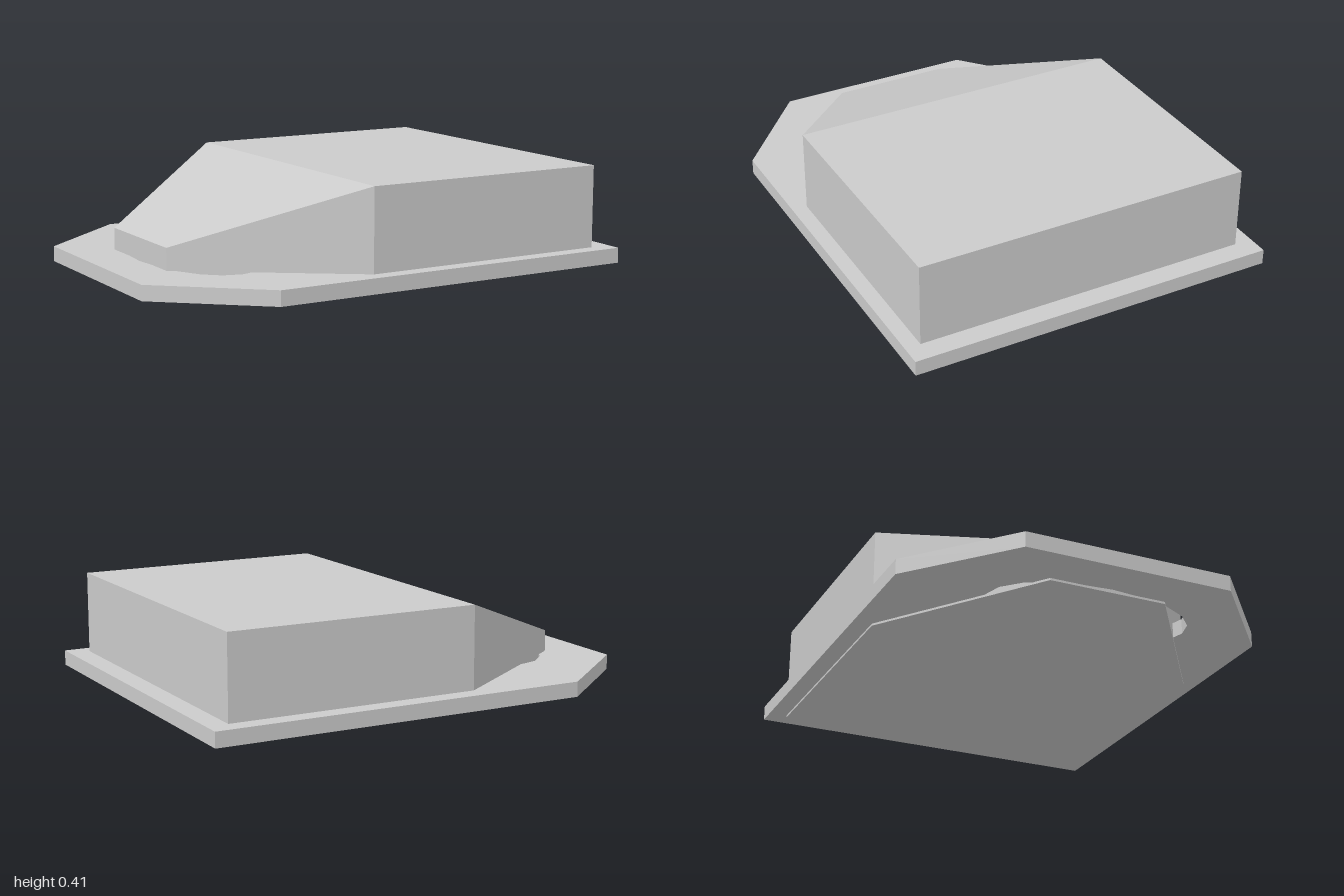
import * as THREE from 'three';

const material = new THREE.MeshStandardMaterial({ color: 0xcccccc, flatShading: true });

function addPart(group, geometry, name) {
  const mesh = new THREE.Mesh(geometry, material);
  mesh.name = name;
  group.add(mesh);
}

const points = (list) => list.map(([x, z]) => new THREE.Vector2(x, z));

// Flat rim plate with chamfered nose corners and a faceted opening under the nose
function rimGeometry() {
  const shape = new THREE.Shape(points([
    [-1, -0.43], [-0.595, -0.775], [1, -0.775],
    [1, 0.775], [-0.595, 0.775], [-1, 0.43],
  ]));
  shape.holes.push(new THREE.Path(points([
    [-0.82, 0.02], [-0.81, 0.12], [-0.78, 0.27], [-0.725, 0.375], [-0.66, 0.435],
    [-0.585, 0.455], [-0.53, 0.44], [-0.42, 0.38], [-0.33, 0.25], [-0.3, 0.03],
    [-0.33, -0.2], [-0.42, -0.33], [-0.53, -0.405], [-0.59, -0.4], [-0.66, -0.38],
    [-0.735, -0.31], [-0.78, -0.22], [-0.81, -0.09],
  ])));
  const geometry = new THREE.ExtrudeGeometry(shape, { depth: 0.063, bevelEnabled: false });
  return geometry.rotateX(Math.PI / 2).translate(0, 0.072, 0);
}

// Block whose front section tapers in width and slopes down to a short nose
function bodyGeometry() {
  const stations = [
    { x: -0.81, height: 0.163, halfWidth: 0.245 },
    { x: -0.15, height: 0.415, halfWidth: 0.705 },
    { x: 0.912, height: 0.415, halfWidth: 0.705 },
  ];
  const geometry = new THREE.BoxGeometry(2, 1, 2, 2, 1, 1);
  const position = geometry.attributes.position;
  for (let i = 0; i < position.count; i++) {
    const s = stations[Math.round(position.getX(i)) + 1];
    const y = position.getY(i) > 0 ? s.height : 0;
    position.setXYZ(i, s.x, y, 0.006 + Math.sign(position.getZ(i)) * s.halfWidth);
  }
  const faceted = geometry.toNonIndexed();
  faceted.computeVertexNormals();
  return faceted;
}

export function createModel() {
  const group = new THREE.Group();
  group.name = 'wedgeHousing';
  addPart(group, rimGeometry(), 'rimPlate');
  addPart(group, bodyGeometry(), 'wedgeBody');
  return group;
}
